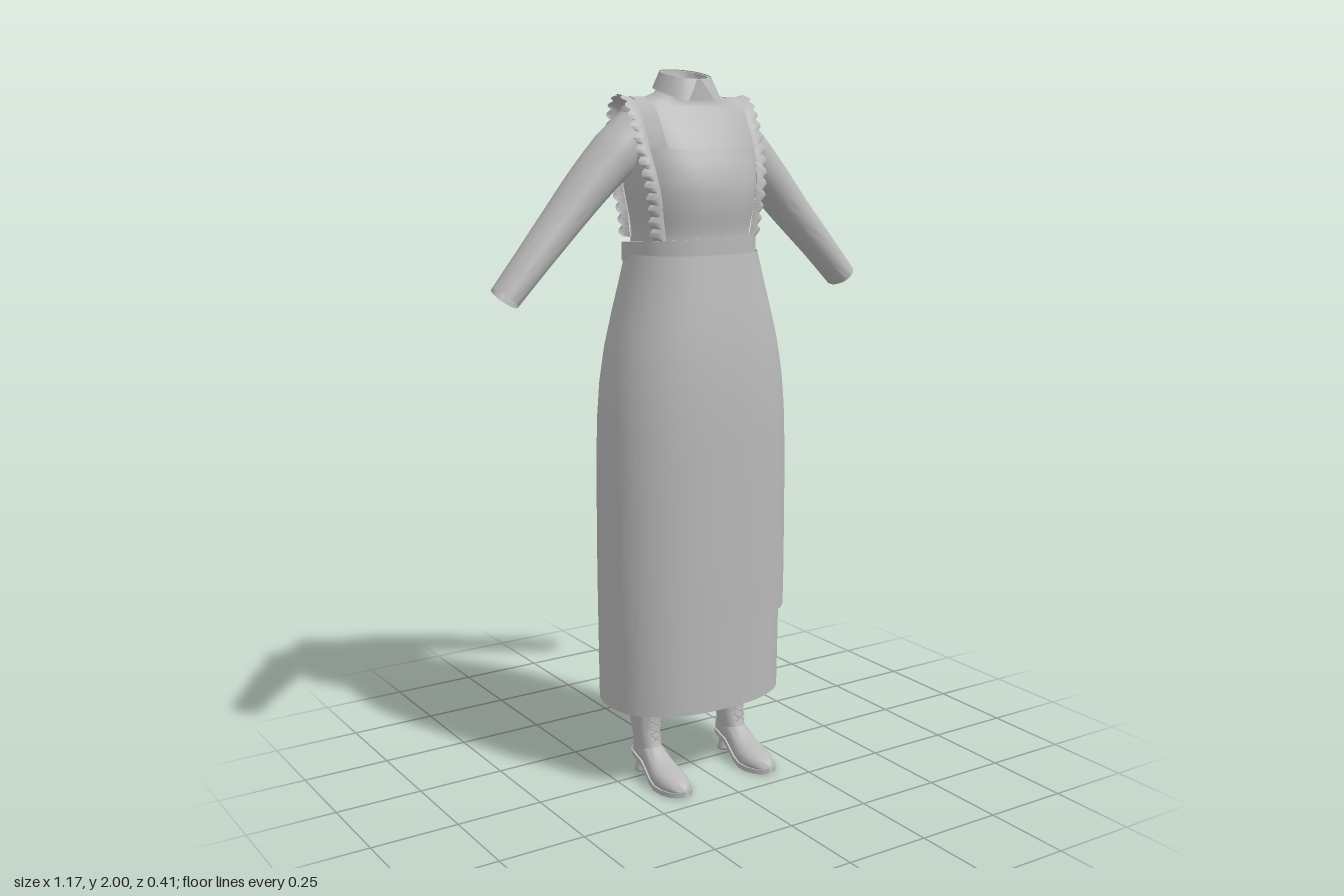
import * as THREE from 'three';
import { toCreasedNormals } from 'three/addons/utils/BufferGeometryUtils.js';

const E = 0.85; // squareness of the oval cross-sections
const pw = (s) => Math.sign(s) * Math.abs(s) ** E;
const lerp = THREE.MathUtils.lerp;

// Rows are [y, halfWidth, frontZ, backZ]
const skirtRows = [
  [0.23, 0.27, 0.185, -0.2], [0.6, 0.274, 0.189, -0.2], [0.9, 0.273, 0.189, -0.2], [1.05, 0.269, 0.188, -0.199],
  [1.15, 0.261, 0.184, -0.195], [1.25, 0.245, 0.177, -0.187], [1.35, 0.22, 0.165, -0.176],
  [1.43, 0.198, 0.153, -0.165], [1.52, 0.176, 0.14, -0.152],
];
const bodiceRows = [
  [1.5, 0.17, 0.128, -0.14], [1.56, 0.163, 0.122, -0.13], [1.6, 0.168, 0.13, -0.133], [1.64, 0.176, 0.137, -0.14],
  [1.69, 0.184, 0.138, -0.147], [1.74, 0.189, 0.128, -0.151], [1.79, 0.191, 0.108, -0.15], [1.84, 0.191, 0.079, -0.14],
  [1.87, 0.19, 0.058, -0.128], [1.9, 0.183, 0.035, -0.114], [1.915, 0.16, 0.028, -0.104],
  [1.925, 0.12, 0.03, -0.1], [1.938, 0.085, 0.035, -0.095], [1.965, 0.066, 0.038, -0.09],
];

function rowAt(rows, y) {
  let i = 0;
  while (i < rows.length - 2 && rows[i + 1][0] < y) i++;
  const t = THREE.MathUtils.clamp((y - rows[i][0]) / (rows[i + 1][0] - rows[i][0]), 0, 1);
  return rows[i].map((v, k) => lerp(v, rows[i + 1][k], t));
}

// Point on an oval ring; angle 0 is the front
function ring([y, w, f, b], a, off = 0) {
  return [(w + off) * pw(Math.sin(a)), y, (f + b) / 2 + ((f - b) / 2 + off) * pw(Math.cos(a))];
}

// Grid surface from fn(i, j)
function surface(fn, nu, nv, crease = 0.9) {
  const pos = [], idx = [];
  for (let j = 0; j <= nv; j++) for (let i = 0; i <= nu; i++) pos.push(...fn(i, j));
  for (let j = 0; j < nv; j++) for (let i = 0; i < nu; i++) {
    const a = j * (nu + 1) + i, c = a + nu + 1;
    idx.push(a, a + 1, c, a + 1, c + 1, c);
  }
  const g = new THREE.BufferGeometry();
  g.setAttribute('position', new THREE.Float32BufferAttribute(pos, 3));
  g.setIndex(idx);
  return toCreasedNormals(g, crease);
}
const loft = (rows, n = 48) => surface((i, j) => ring(rows[j], (i / n) * Math.PI * 2), n, rows.length - 1);

// Depth of the bodice surface at x, y
function bodyZ(x, y, side) {
  const [, w, f, b] = rowAt(bodiceRows, y);
  const k = Math.max(0, 1 - Math.min(1, Math.abs(x) / w) ** (2 / E)) ** (E / 2);
  return (f + b) / 2 + side * ((f - b) / 2) * k;
}
const seamX = (y) => lerp(0.135, 0.167, THREE.MathUtils.clamp((y - 1.55) / 0.22, 0, 1));

// Line running from the waist over the shoulder to the back waist
function shoulderPath(xOf, off) {
  const ys = [1.55, 1.61, 1.67, 1.73, 1.79, 1.85, 1.9];
  const pt = (y, s) => new THREE.Vector3(xOf(y), y, bodyZ(xOf(y), y, s) + s * off);
  return new THREE.CatmullRomCurve3([
    ...ys.map((y) => pt(y, 1)), new THREE.Vector3(xOf(1.92), 1.927, -0.04), ...ys.reverse().map((y) => pt(y, -1)),
  ]);
}

export function createModel() {
  const model = new THREE.Group();
  model.name = 'dressWithApron';
  const cloth = new THREE.MeshStandardMaterial({ color: 0xb8b8b8, side: THREE.DoubleSide });
  cloth.name = 'plain grey';
  const add = (name, geo, parent = model) => {
    const m = new THREE.Mesh(geo, cloth);
    m.name = name;
    parent.add(m);
    return m;
  };

  add('skirt', loft(skirtRows, 64));
  add('bodice', loft(bodiceRows, 64));

  // Apron skirt: front half, rounded lower corners, edges turned in
  const NA = 60, NV = 22;
  add('apronSkirt', surface((i, j) => {
    const edge = i === 0 || i === NA || j === 0;
    const u = THREE.MathUtils.clamp((i - 1) / (NA - 2), 0, 1) * 2 - 1;
    const c = Math.max(0, (Math.abs(u) - 0.84) / 0.16);
    const bottom = 0.48 + 0.065 * (1 - Math.sqrt(Math.max(0, 1 - c * c)));
    const y = lerp(bottom, 1.51, Math.max(0, j - 1) / (NV - 1));
    return ring(rowAt(skirtRows, y), u * Math.PI * 0.505, edge ? 0 : 0.012);
  }, NA, NV));

  // Waistband, lower at the back
  const band = [[1.492, -0.012], [1.492, 0], [1.543, 0], [1.543, -0.022]];
  add('waistband', surface((i, j) => {
    const p = ring([band[j][0], 0.186, 0.148, -0.165], (i / 64) * Math.PI * 2, band[j][1]);
    p[1] += 0.07 * p[2];
    return p;
  }, 64, 3));

  // Square-necked bib panels
  for (const s of [1, -1]) {
    add(s > 0 ? 'frontBib' : 'backBib', surface((i, j) => {
      const y = lerp(1.53, 1.79, Math.min(j, 13) / 13), x = (i / 24 * 2 - 1) * seamX(y);
      return [x, y, bodyZ(x, y, s) + s * (j === 14 ? 0 : 0.009)];
    }, 24, 14));
  }

  // Collar with an open front, tilted forwards
  const tilt = ([x, y, z]) => [x, y - 0.2 * (z + 0.025), z];
  add('neckStand', surface((i, j) => tilt(ring(
    [[1.93, 0.066, 0.04, -0.092], [1.985, 0.066, 0.04, -0.092], [1.985, 0.058, 0.033, -0.084], [1.93, 0.054, 0.028, -0.08],
      [1.915, 0.035, 0.012, -0.06], [1.91, 0.001, -0.025, -0.027]][j], i / 40 * Math.PI * 2)), 40, 5));
  add('collar', surface((i, j) => {
    const v = j / 5, u = i / 48;
    const a = lerp(0.06 + 0.4 * v, Math.PI * 2 - 0.06 - 0.4 * v, u);
    const tip = Math.max(0, 1 - Math.min(u, 1 - u) / 0.18);
    return tilt(ring([lerp(1.987, 1.942 - 0.012 * tip, v), lerp(0.067, 0.088, v), lerp(0.042, 0.066, v), lerp(-0.094, -0.108, v)], a));
  }, 48, 5));

  for (const side of [1, -1]) {
    const half = new THREE.Group();
    half.name = side > 0 ? 'leftSide' : 'rightSide';
    half.scale.x = side;
    model.add(half);

    // Sleeve, open at the wrist
    const arm = new THREE.CatmullRomCurve3([[0.14, 1.845, -0.042], [0.21, 1.78, -0.045], [0.29, 1.70, -0.047],
      [0.38, 1.602, -0.045], [0.47, 1.505, -0.038], [0.556, 1.41, -0.034]].map((p) => new THREE.Vector3(...p)));
    const radii = [[0.062, 0.07], [0.068, 0.076], [0.061, 0.071], [0.053, 0.063], [0.046, 0.055], [0.04, 0.051]];
    add('sleeve', surface((i, j) => {
      const t = j / 20, k = Math.min(4, Math.floor(t * 5)), a = i / 32 * Math.PI * 2;
      const c = arm.getPoint(t), d = arm.getTangent(t);
      const rn = lerp(radii[k][0], radii[k + 1][0], t * 5 - k), rz = lerp(radii[k][1], radii[k + 1][1], t * 5 - k);
      const n = Math.cos(a) * rn;
      return [c.x - d.y * n, c.y + d.x * n, c.z + Math.sin(a) * rz];
    }, 32, 20), half);

    // Apron strap and scalloped ruffle
    const inner = shoulderPath(() => 0.13, 0.009), seam = shoulderPath(seamX, 0.01);
    add('apronStrap', surface((i, j) => {
      const t = lerp(4 / 14, 10 / 14, j / 36);
      return inner.getPoint(t).lerp(seam.getPoint(t), i / 4).toArray();
    }, 4, 36), half);
    const NR = 216;
    add('ruffle', surface((i, j) => {
      const t = j / NR, p = seam.getPoint(t), u = i / 4;
      const scallop = Math.abs(Math.sin(t * Math.PI * 27));
      const out = 0.03 + 0.013 * scallop, s = Math.cos(t * Math.PI);
      p.x += u * out;
      p.y += u * 0.006 * Math.sin(t * Math.PI) - 0.002 * (1 - u);
      p.z += s * 0.012 * Math.sin(u * Math.PI) - s * 0.012 * u;
      return p.toArray();
    }, 4, NR), half);

    // Laced boot
    const boot = new THREE.Group();
    boot.name = 'boot';
    boot.position.x = 0.146;
    half.add(boot);
    add('bootShaft', loft([[0.06, 0.03, 0.06, -0.05], [0.1, 0.033, 0.046, -0.052], [0.135, 0.036, 0.033, -0.056],
      [0.17, 0.041, 0.034, -0.063], [0.21, 0.045, 0.037, -0.069], [0.36, 0.047, 0.04, -0.072]], 28), boot);
    // Foot sections: [z, halfWidth, bottom, top]
    const foot = [[-0.06, 0.002, 0.078, 0.085], [-0.057, 0.017, 0.066, 0.1], [-0.045, 0.027, 0.058, 0.11],
      [-0.02, 0.031, 0.054, 0.118], [0.02, 0.034, 0.045, 0.115], [0.05, 0.038, 0.028, 0.095], [0.08, 0.044, 0.014, 0.073],
      [0.11, 0.048, 0.007, 0.062], [0.145, 0.045, 0.006, 0.053], [0.175, 0.034, 0.007, 0.042],
      [0.194, 0.02, 0.009, 0.031], [0.203, 0.002, 0.013, 0.019]];
    add('foot', surface((i, j) => {
      const [z, w, b, t] = foot[j], a = i / 24 * Math.PI * 2, s = Math.sin(a);
      const base = lerp(b, t, 0.35);
      return [w * pw(Math.cos(a)), base + (s > 0 ? (t - base) * s : (base - b) * -(Math.abs(s) ** 0.5)), z];
    }, 24, foot.length - 1), boot);
    add('sole', surface((i, j) => {
      const [z, w, b] = foot[j], k = [[-1, 0.008], [1, 0.008], [1, -0.006], [-1, -0.006], [-1, 0.008]][i];
      return [k[0] * (w + 0.003), b + k[1], z * 1.01];
    }, 4, foot.length - 1), boot);
    const heel = add('heel', new THREE.LatheGeometry([[0, 0], [0.021, 0], [0.021, 0.008], [0.017, 0.025], [0.02, 0.045],
      [0.028, 0.066]].map((p) => new THREE.Vector2(...p)), 20), boot);
    heel.position.z = -0.034;

    // Criss-cross laces
    for (let k = 0; k < 5; k++) for (const d of [1, -1]) {
      const lace = add('lace', new THREE.CylinderGeometry(0.0025, 0.0025, 0.036, 6), boot);
      lace.position.set(0, 0.125 + k * 0.022, 0.037 + 0.004 * Math.abs(k - 2) * (k < 2 ? 1 : 0));
      lace.rotation.z = d * 1.0;
    }
  }
  return model;
}
